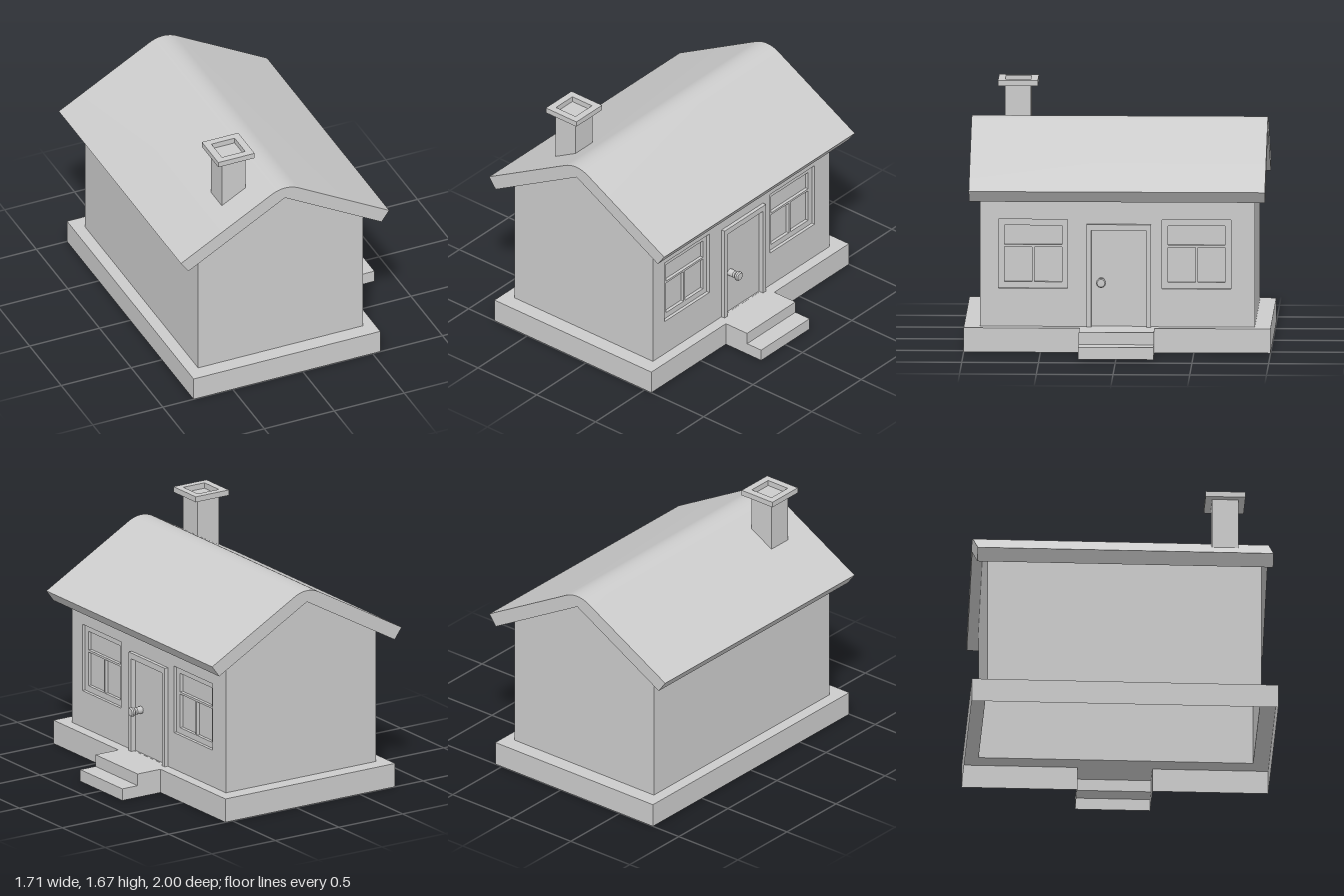
import * as THREE from 'three';
import { toCreasedNormals } from 'three/addons/utils/BufferGeometryUtils.js';

const mat = new THREE.MeshStandardMaterial({ color: 0xcccccc, side: THREE.DoubleSide });
const V = (list) => list.map(([x, y]) => new THREE.Vector2(x, y));
const rect = (u0, v0, u1, v1) => V([[u0, v0], [u1, v0], [u1, v1], [u0, v1]]);

function shapeOf(points, holes = []) {
  const s = new THREE.Shape(points);
  s.holes = holes.map((h) => new THREE.Path(h));
  return s;
}

// Upright slab on the door side: outline in (-z, y), from x0 to x1
function slab(points, holes, x0, x1) {
  const g = new THREE.ExtrudeGeometry(shapeOf(points, holes), { depth: x1 - x0, bevelEnabled: false });
  return g.rotateY(Math.PI / 2).translate(x0, 0, 0);
}

// Horizontal sheet: outline in (x, -z)
function sheet(points, holes, y) {
  return new THREE.ShapeGeometry(shapeOf(points, holes)).rotateX(-Math.PI / 2).translate(0, y, 0);
}

// Vertical skirt along a plan outline in (x, -z); bottom(i) gives each edge's lower height
function skirt(points, closed, bottom, top) {
  const pos = [];
  const count = closed ? points.length : points.length - 1;
  for (let i = 0; i < count; i++) {
    const a = points[i], b = points[(i + 1) % points.length], y0 = bottom(i);
    const A = [a.x, y0, -a.y], B = [b.x, y0, -b.y], C = [b.x, top, -b.y], D = [a.x, top, -a.y];
    pos.push(...A, ...B, ...C, ...A, ...C, ...D);
  }
  const g = new THREE.BufferGeometry();
  g.setAttribute('position', new THREE.Float32BufferAttribute(pos, 3));
  g.computeVertexNormals();
  return g;
}

export function createModel() {
  const model = new THREE.Group();
  const add = (name, geometry, parent = model) => {
    const m = new THREE.Mesh(geometry, mat);
    m.name = name;
    parent.add(m);
    return m;
  };
  const baseTop = 0.16, wallL = -0.7, wallR = 0.48, wallZ = 0.895, ridgeX = -0.11, eave = 1.05;

  // Hollow plinth with the upper step built into its outline
  const plinth = V([[-0.78, -1], [0.555, -1], [0.555, -0.245], [0.735, -0.245],
    [0.735, 0.245], [0.555, 0.245], [0.555, 1], [-0.78, 1]]);
  add('plinthTop', sheet(plinth, [rect(wallL, -wallZ, wallR, wallZ)], baseTop));
  add('plinthSides', skirt(plinth, true, (i) => (i === 3 ? 0.08 : 0), baseTop));

  // Lower step
  const step = rect(0.735, -0.245, 0.855, 0.245);
  add('lowerStepTop', sheet(step, [], 0.08));
  add('lowerStepSides', skirt(step, false, () => 0, 0.08));

  // Gable walls and plain long wall
  const gable = shapeOf(V([[wallL, baseTop], [wallR, baseTop], [wallR, eave], [ridgeX, 1.38], [wallL, eave]]));
  add('frontGable', new THREE.ShapeGeometry(gable).translate(0, 0, wallZ));
  add('backGable', new THREE.ShapeGeometry(gable).scale(1, 1, -1).translate(0, 0, -wallZ)).geometry.computeVertexNormals();
  add('plainWall', new THREE.PlaneGeometry(2 * wallZ, eave - baseTop)
    .rotateY(-Math.PI / 2).translate(wallL, (eave + baseTop) / 2, 0));

  // Long wall with window and door openings
  const windows = [-0.55, 0.515];
  const opening = (u) => rect(u - 0.226, 0.41, u + 0.226, 0.865);
  const doorHole = rect(-0.17, baseTop + 0.001, 0.19, 0.795);
  add('doorWall', slab(rect(-wallZ, baseTop, wallZ, eave), [...windows.map(opening), doorHole], 0.435, wallR));

  // Recessed windows: one wide pane over two narrow ones
  windows.forEach((u) => {
    const g = new THREE.Group();
    g.name = 'window';
    model.add(g);
    const panes = [
      rect(u - 0.187, 0.695, u + 0.187, 0.822),
      rect(u - 0.187, 0.45, u - 0.008, 0.68),
      rect(u + 0.008, 0.45, u + 0.187, 0.68),
    ];
    add('windowFrame', slab(opening(u), panes, 0.435, 0.458), g);
    add('windowPanes', new THREE.PlaneGeometry(0.45, 0.453)
      .rotateY(Math.PI / 2).translate(0.436, 0.6375, -u), g);
  });

  // Door, its surround and its knob
  add('doorFrame', slab(V([[-0.2, baseTop], [-0.17, baseTop], [-0.17, 0.795], [0.19, 0.795],
    [0.19, baseTop], [0.22, baseTop], [0.22, 0.835], [-0.2, 0.835]]), [], 0.47, 0.505));
  add('door', slab(rect(-0.17, baseTop, 0.19, 0.795), [], 0.44, 0.47));
  const knob = new THREE.LatheGeometry(V([[0.024, 0.468], [0.024, 0.512], [0.014, 0.52], [0.014, 0.53],
    [0.028, 0.533], [0.032, 0.54], [0.032, 0.55], [0.025, 0.559], [0, 0.561]]), 20);
  add('doorKnob', toCreasedNormals(knob.rotateZ(-Math.PI / 2).translate(0, 0.457, 0.105), 0.6));

  // Roof slab with a rounded ridge
  const roof = new THREE.Shape();
  roof.moveTo(-0.8, 0.995);
  roof.lineTo(ridgeX, 1.38);
  roof.lineTo(0.58, 0.995);
  roof.lineTo(0.635, 1.07);
  roof.lineTo(-0.015, 1.432);
  roof.quadraticCurveTo(ridgeX, 1.482, -0.205, 1.432);
  roof.lineTo(-0.855, 1.07);
  roof.closePath();
  const roofGeo = new THREE.ExtrudeGeometry(roof, { depth: 1.93, bevelEnabled: false, curveSegments: 10 });
  add('roof', toCreasedNormals(roofGeo.translate(0, 0, -0.965), 0.5));

  // Chimney with an open cap
  const chimney = new THREE.Group();
  chimney.name = 'chimney';
  chimney.position.set(-0.382, 0, 0.669);
  model.add(chimney);
  add('chimneyShaft', new THREE.BoxGeometry(0.17, 0.35, 0.17).translate(0, 1.455, 0), chimney);
  const cap = shapeOf(rect(-0.13, -0.13, 0.13, 0.13), [rect(-0.083, -0.083, 0.083, 0.083)]);
  add('chimneyCap', new THREE.ExtrudeGeometry(cap, { depth: 0.037, bevelEnabled: false })
    .rotateX(-Math.PI / 2).translate(0, 1.63, 0), chimney);

  return model;
}
